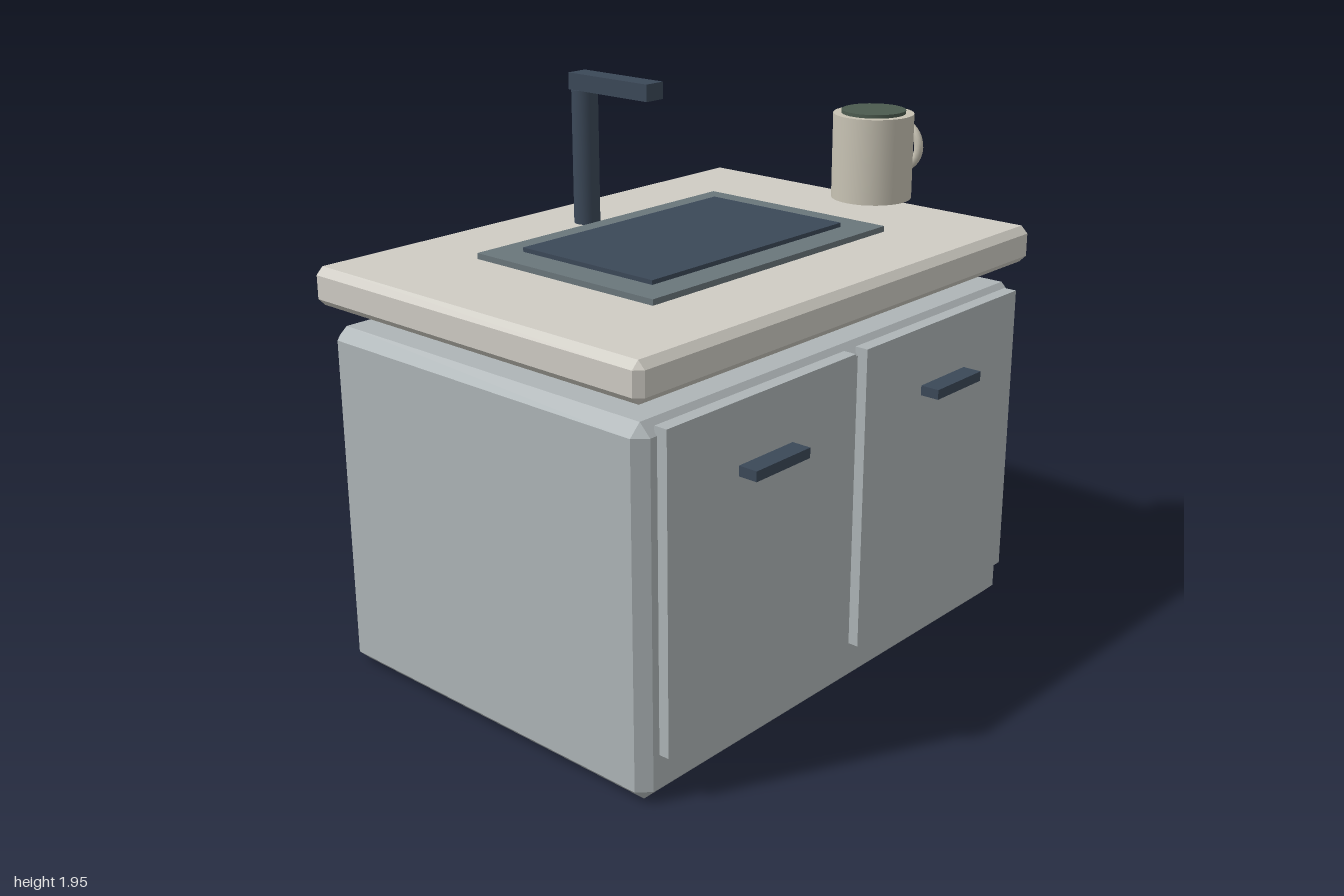
import * as THREE from 'three';
import { ConvexGeometry } from 'three/addons/geometries/ConvexGeometry.js';

const mat = (color) => new THREE.MeshStandardMaterial({ color });
const stone = mat(0xcfccc4), paint = mat(0xaeb5b7), steel = mat(0x6a767b);
const dark = mat(0x3b4858), cream = mat(0xc8c3b4), drink = mat(0x4c5b4f);

// Box whose twelve edges are cut at 45 degrees by c
function chamferBox(w, h, d, c) {
  const pts = [];
  for (const sx of [-1, 1]) for (const sy of [-1, 1]) for (const sz of [-1, 1]) {
    const x = w / 2, y = h / 2, z = d / 2;
    pts.push(
      new THREE.Vector3(sx * x, sy * (y - c), sz * (z - c)),
      new THREE.Vector3(sx * (x - c), sy * y, sz * (z - c)),
      new THREE.Vector3(sx * (x - c), sy * (y - c), sz * z));
  }
  return new ConvexGeometry(pts);
}

export function createModel() {
  const model = new THREE.Group();
  model.name = 'sinkCabinet';

  const add = (name, geometry, material, x, y, z, parent = model) => {
    const mesh = new THREE.Mesh(geometry, material);
    mesh.name = name;
    mesh.position.set(x, y, z);
    parent.add(mesh);
    return mesh;
  };
  // Box given by its lower and upper bounds
  const addBox = (name, material, [x0, x1], [y0, y1], [z0, z1], c = 0) => {
    const w = x1 - x0, h = y1 - y0, d = z1 - z0;
    const geometry = c ? chamferBox(w, h, d, c) : new THREE.BoxGeometry(w, h, d);
    return add(name, geometry, material, (x0 + x1) / 2, (y0 + y1) / 2, (z0 + z1) / 2);
  };

  // Cabinet and the worktop floating just above it
  addBox('cabinet', paint, [-0.97, 0.97], [0, 1.214], [-0.735, 0.66], 0.04);
  addBox('worktop', stone, [-1, 1], [1.287, 1.417], [-0.765, 0.685], 0.025);

  // Doors with bar handles, mirrored
  for (const [side, s] of [['left', 1], ['right', -1]]) {
    const span = (a, b) => (s > 0 ? [a, b] : [-b, -a]);
    addBox(side + 'Door', paint, span(0.03, 0.903), [0.155, 1.203], [0.65, 0.697]);
    addBox(side + 'Handle', dark, span(0.34, 0.592), [0.966, 1.0], [0.69, 0.765]);
  }

  // Sink rim and basin
  addBox('sinkRim', steel, [-0.585, 0.585], [1.40, 1.437], [-0.433, 0.35]);
  addBox('sinkBasin', dark, [-0.475, 0.475], [1.42, 1.452], [-0.332, 0.245]);

  // Tap
  add('tapPost', new THREE.CylinderGeometry(0.046, 0.046, 0.475, 32), dark, 0, 1.65, -0.513);
  addBox('tapSpout', dark, [-0.04, 0.04], [1.887, 1.945], [-0.55, -0.182]);

  // Mug with drink and ring handle
  const mug = new THREE.Group();
  mug.name = 'mug';
  mug.position.set(0.695, 1.5, 0.21);
  model.add(mug);
  add('mugBody', new THREE.CylinderGeometry(0.141, 0.141, 0.298, 32), cream, 0, 0.149, 0, mug);
  add('mugDrink', new THREE.CylinderGeometry(0.112, 0.112, 0.02, 32), drink, 0, 0.3, 0, mug);
  const ring = add('mugHandle', new THREE.TorusGeometry(0.081, 0.016, 12, 32), cream, 0.166, 0.16, 0, mug);
  ring.rotation.y = Math.PI / 2;

  return model;
}
